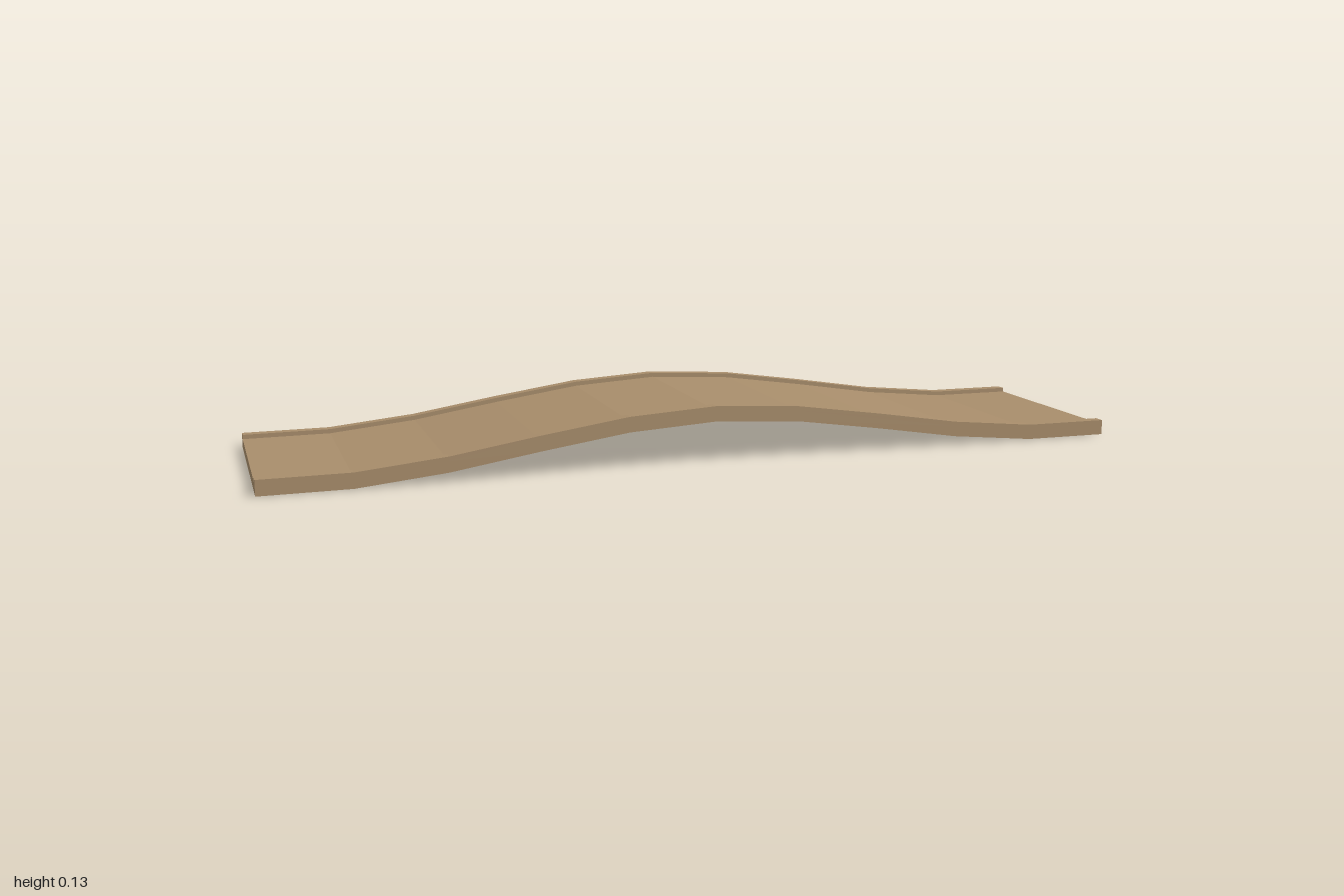
import * as THREE from 'three';

// Height of the wave above the ground at each station along x
const STATIONS = [
  [-1, 0], [-0.8, 0.001], [-0.6, 0.021], [-0.4, 0.053], [-0.2, 0.082], [0, 0.094],
  [0.2, 0.082], [0.4, 0.053], [0.6, 0.021], [0.8, 0.001], [1, 0],
];
const HALF_WIDTH = 0.25, RAIL_WIDTH = 0.025, DECK_TOP = 0.025, RAIL_TOP = 0.035;

// A band following the wave between two heights, extruded from z0 to z1
function waveBand(name, low, high, z0, z1, material) {
  const lower = STATIONS.map(([x, y]) => new THREE.Vector2(x, y + low));
  const upper = STATIONS.map(([x, y]) => new THREE.Vector2(x, y + high)).reverse();
  const geometry = new THREE.ExtrudeGeometry(new THREE.Shape([...lower, ...upper]), {
    depth: z1 - z0, bevelEnabled: false,
  });
  geometry.translate(0, 0, z0);
  const mesh = new THREE.Mesh(geometry, material);
  mesh.name = name;
  return mesh;
}

export function createModel() {
  const model = new THREE.Group();
  model.name = 'waveTrack';
  const wood = new THREE.MeshStandardMaterial({ color: 0xa88d6b });
  wood.name = 'wood';

  // Curved deck with a low rail along each long edge
  model.add(waveBand('deck', 0, DECK_TOP, -HALF_WIDTH, HALF_WIDTH, wood));
  const inner = HALF_WIDTH - RAIL_WIDTH;
  model.add(waveBand('frontRail', DECK_TOP, RAIL_TOP, inner, HALF_WIDTH, wood));
  model.add(waveBand('backRail', DECK_TOP, RAIL_TOP, -HALF_WIDTH, -inner, wood));
  return model;
}
